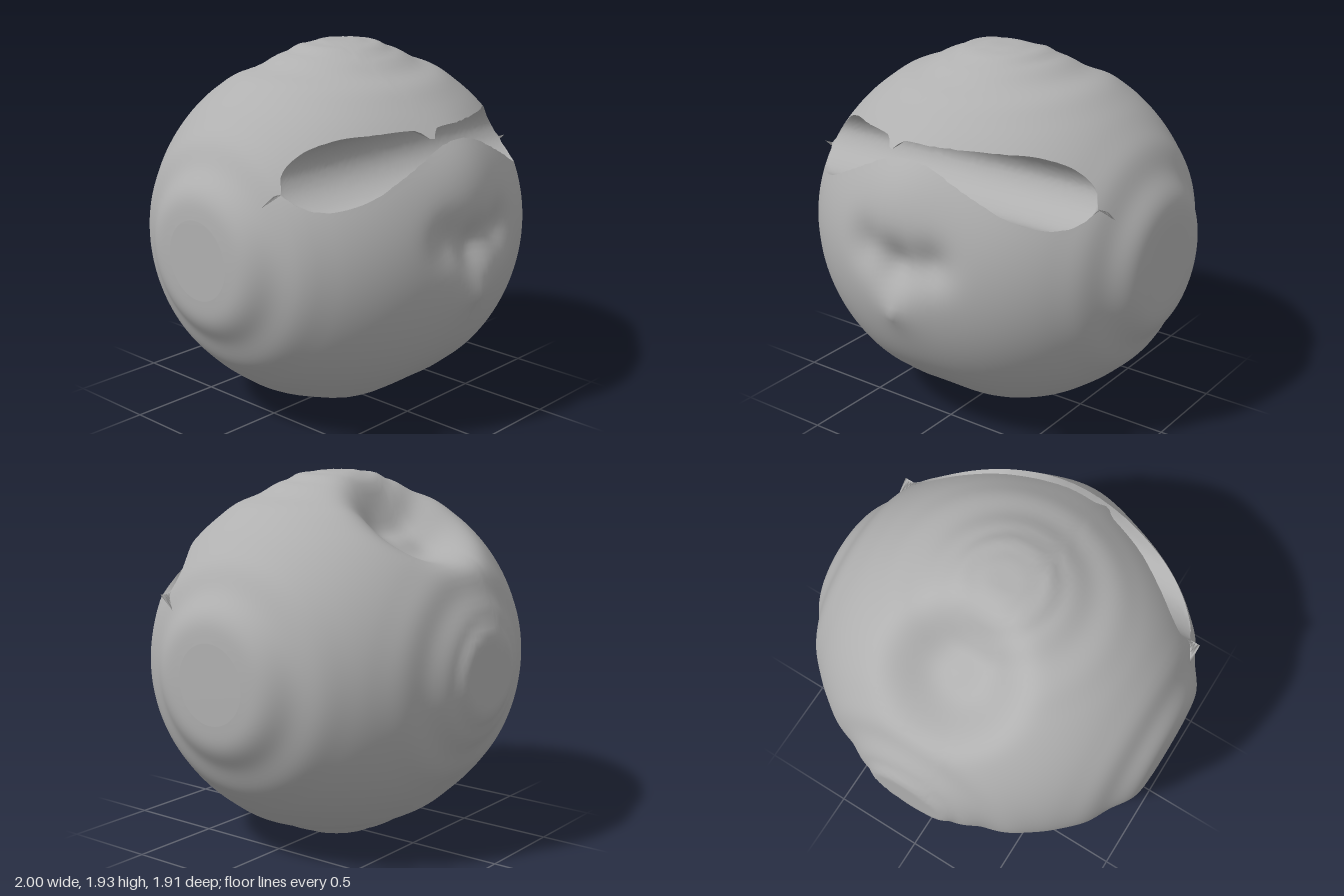
import * as THREE from 'three';
import { mergeVertices } from 'three/addons/utils/BufferGeometryUtils.js';

const MID = 0.965; // height of the ball's centre
const V = (x, y, z) => new THREE.Vector3(x, y, z).normalize();

// Local swellings and hollows: direction, amount, angular width, sharpness
const bumps = [
  [V(0, 0.84, -0.545), -0.2, 0.33, 4],   // broad hollow behind the crown
  [V(0, 0.45, 0.89), 0.035, 0.25, 2],    // lower lip
  [V(0, 0.06, 1), -0.09, 0.13, 2],       // hollows under the lip
  [V(0.22, 0.1, 0.95), -0.06, 0.12, 2],
  [V(-0.2, 0.12, 0.95), -0.045, 0.12, 2],
  [V(0, -0.2, 0.97), 0.045, 0.1, 1],     // pointed nub
  [V(0, -0.8, 0.6), -0.03, 0.25, 2],
  [V(0, -0.65, -0.75), -0.02, 0.25, 2],
];
const poles = [V(0, 1, 0), V(0, -1, 0), V(0, 0, -1), V(1, 0, 0), V(-1, 0, 0)];

// Radius of the lumpy ball in a direction
function radius(d) {
  let r = 0.94 + 0.09 * d.x * d.x;
  for (const [c, amount, width, power] of bumps)
    r += amount * Math.exp(-Math.pow(d.angleTo(c) / width, power));
  // Terraced rings round each flattened pole
  poles.forEach((p, i) => {
    const a = d.angleTo(p);
    if (i < 3) r += 0.035 * (1 - THREE.MathUtils.smoothstep(a, 0.2, 0.3));
    r += 0.01 * Math.cos(a * 20) * (1 - THREE.MathUtils.smoothstep(a, 0.35, 0.8));
  });
  r = Math.min(r, MID / Math.max(Math.abs(d.y), 0.01));
  return d.z < -0.01 ? Math.min(r, 0.95 / -d.z) : r;
}

// Is a point inside the ball?
const inside = (x, y, z) => {
  const p = new THREE.Vector3(x, y, z), l = p.length();
  return l < radius(p.divideScalar(l || 1));
};

// Point of the skin in the section at x, at an angle round the x axis
function skinPoint(x, a) {
  let lo = 0, hi = 1.2;
  for (let i = 0; i < 18; i++) {
    const m = (lo + hi) / 2;
    if (inside(x, m * Math.sin(a), m * Math.cos(a))) lo = m; else hi = m;
  }
  return [x, lo * Math.sin(a) + MID, lo * Math.cos(a)];
}

// Outline of the sideways mouth slot, [z, y], from lower lip round to upper lip
const slotOutline = [[0.785, 1.57], [0.775, 1.42], [0.72, 1.31], [0.61, 1.265], [0.5, 1.29],
  [0.42, 1.35], [0.385, 1.43], [0.42, 1.51], [0.5, 1.56], [0.62, 1.58], [0.78, 1.585]];
const slotPath = new THREE.CatmullRomCurve3(
  slotOutline.map(([z, y]) => new THREE.Vector3(0, y - MID, z))).getPoints(160);

// Surface through rows of points
function loft(rows) {
  const n = rows[0].length, index = [];
  for (let i = 0; i < rows.length - 1; i++)
    for (let j = 0; j < n - 1; j++) {
      const a = i * n + j, b = a + n;
      index.push(a, b, b + 1, a, b + 1, a + 1);
    }
  const g = new THREE.BufferGeometry();
  g.setAttribute('position', new THREE.Float32BufferAttribute(rows.flat(2), 3));
  g.setIndex(index);
  const welded = mergeVertices(g, 1e-4);
  welded.computeVertexNormals();
  return welded;
}

export function createModel() {
  const group = new THREE.Group();
  const stone = new THREE.MeshStandardMaterial({ color: 0xb0b0b0 });
  stone.name = 'stone grey';

  const RINGS = 120, AROUND = 150, SLOT = 28;
  const skinRows = [], slotRows = [];
  for (let i = 0; i <= RINGS; i++) {
    const x = -Math.cos((Math.PI * i) / RINGS) * 0.9999;
    // A small tooth hangs from the upper lip
    const tooth = 0.05 * Math.exp(-(((x + 0.14) / 0.04) ** 2));
    const path = slotPath.map((p) => [
      p.y - (p.y > 0.55 && p.z < 0.783 ? tooth * THREE.MathUtils.smoothstep(p.z, 0.62, 0.73) : 0), p.z]);
    // The lower lip's wall keeps its height beside the tooth
    for (let k = 0; k < 40; k++) path[k][0] = slotPath[k].y;
    const within = path.map(([y, z]) => inside(x, y, z));
    let first = within.indexOf(true), last = within.lastIndexOf(true);
    if (first < 0) {
      const size = path.map(([y, z]) => Math.hypot(y, z));
      first = last = size.indexOf(Math.min(...size));
    }
    const angle = (k) => Math.atan2(path[k][0], path[k][1]);
    const lower = angle(first), upper = angle(last);

    // Outer skin: from upper lip over the crown, back and base to lower lip
    const skin = [];
    for (let j = 0; j <= AROUND; j++)
      skin.push(skinPoint(x, upper + ((lower + 2 * Math.PI - upper) * j) / AROUND));
    const cap = skin.map(() => [x, MID, 0]);
    if (i === 0) skinRows.push(cap);
    skinRows.push(skin);
    if (i === RINGS) skinRows.push(cap);

    // Slot wall: from lower lip along floor, rear and roof to upper lip
    const wall = [];
    for (let j = 0; j <= SLOT; j++) {
      const [y, z] = path[Math.round(first + ((last - first) * j) / SLOT)];
      wall.push([x, y + MID, z]);
    }
    wall[0] = skin[AROUND];
    wall[SLOT] = skin[0];
    slotRows.push(wall);
  }

  const add = (name, rows) => {
    const mesh = new THREE.Mesh(loft(rows), stone);
    mesh.name = name;
    group.add(mesh);
  };
  add('lumpyBall', skinRows);
  add('mouthSlot', slotRows.filter((row) => Math.abs(row[0][0]) < 0.9));
  return group;
}
